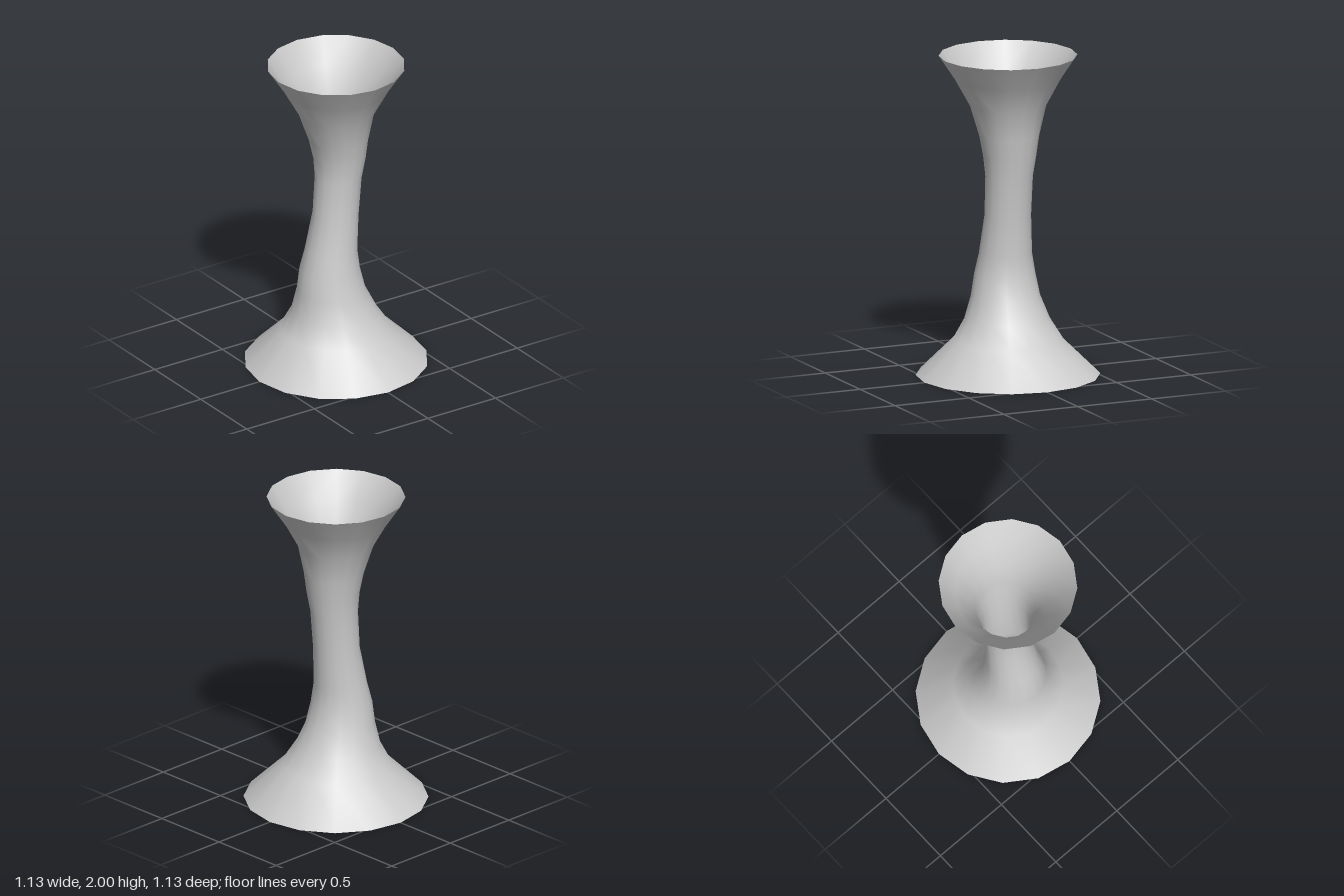
import * as THREE from 'three';
import { mergeVertices } from 'three/addons/utils/BufferGeometryUtils.js';

// Rings from bottom to top: height, radius, sideways shift of the centre
const RINGS = [
  [0, 0.566, 0], [0.22, 0.34, -0.004], [0.35, 0.262, -0.015], [0.49, 0.212, -0.037],
  [0.625, 0.188, -0.047], [0.755, 0.163, -0.037], [1, 0.143, -0.003], [1.245, 0.146, 0.016],
  [1.375, 0.163, 0.025], [1.5, 0.184, 0.018], [1.685, 0.234, 0.002], [1.85, 0.325, 0], [2, 0.425, 0],
];

export function createModel() {
  const group = new THREE.Group();
  group.name = 'flaredColumn';

  // Open 16-sided tube, flared at both ends
  const lathe = new THREE.LatheGeometry(RINGS.map(([y, r]) => new THREE.Vector2(r, y)), 16);

  // Bend the waist by sliding each ring along x
  const pos = lathe.attributes.position;
  for (let i = 0; i < pos.count; i++) {
    pos.setX(i, pos.getX(i) + RINGS[i % RINGS.length][2]);
  }

  // Weld the seam so the shading is smooth all round
  lathe.deleteAttribute('normal');
  lathe.deleteAttribute('uv');
  const geometry = mergeVertices(lathe);
  geometry.computeVertexNormals();

  const material = new THREE.MeshStandardMaterial({ color: 0xcccccc, side: THREE.DoubleSide });
  const shell = new THREE.Mesh(geometry, material);
  shell.name = 'flaredTube';
  group.add(shell);
  return group;
}
